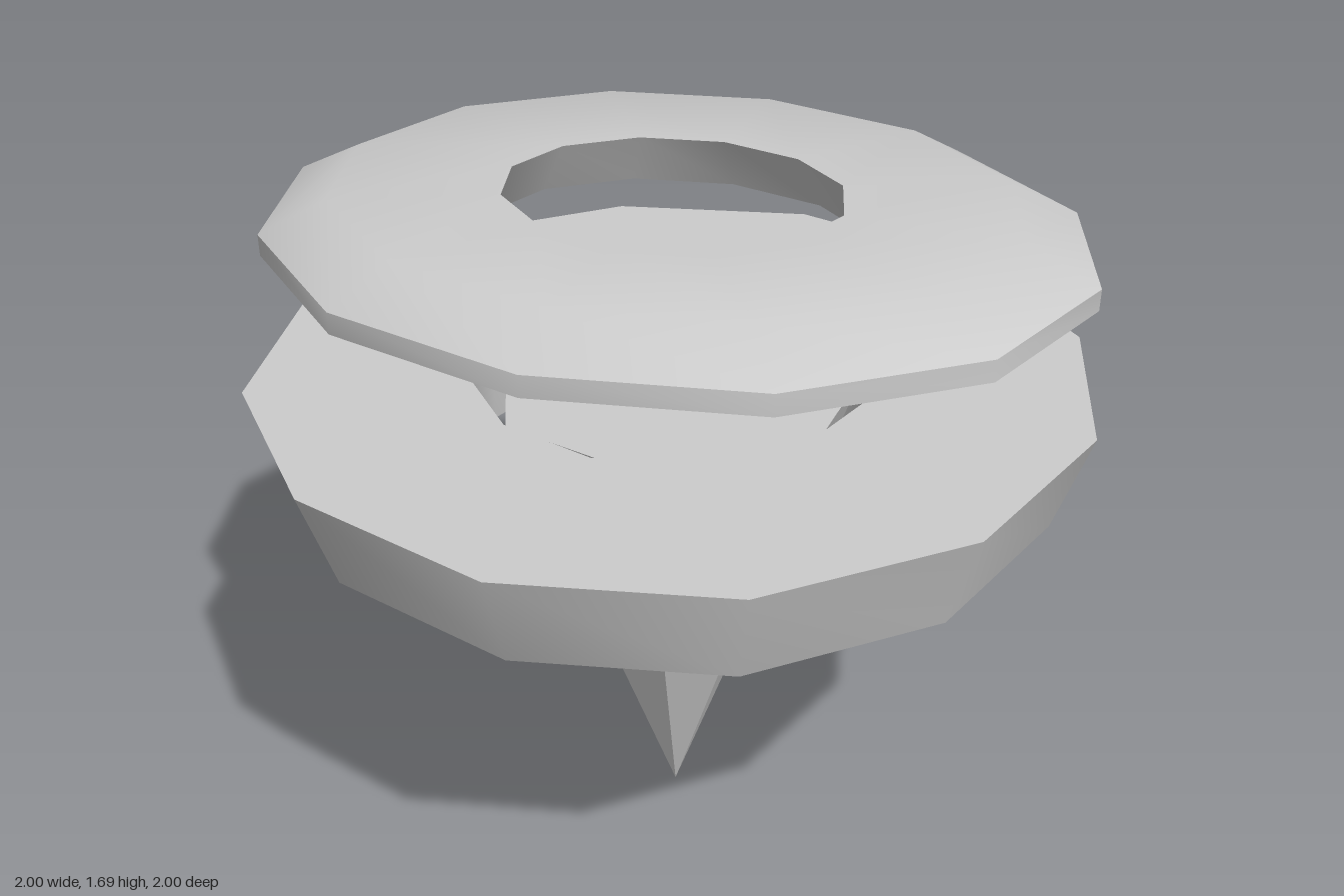
import * as THREE from 'three';
import { toCreasedNormals } from 'three/addons/utils/BufferGeometryUtils.js';

const grey = new THREE.MeshStandardMaterial({ color: 0xcccccc });
const greyFlat = new THREE.MeshStandardMaterial({ color: 0xcccccc, flatShading: true });

// Twelve-sided ring from a closed [radius, y] profile (outside upward, inside downward)
function ring(name, profile, depthScale = 1) {
  const points = [...profile, profile[0]].map(([r, y]) => new THREE.Vector2(r, y));
  const geometry = new THREE.LatheGeometry(points, 12);
  geometry.scale(1, 1, depthScale);
  const mesh = new THREE.Mesh(toCreasedNormals(geometry, 0.7), grey);
  mesh.name = name;
  return mesh;
}

export function createModel() {
  const model = new THREE.Group();
  model.name = 'spinningTop';

  // Oval ring floating on top, with a bevelled rim and a hole that widens downward
  model.add(ring('upperRing', [
    [0.48, 1.56], [0.967, 1.56], [0.967, 1.61], [0.803, 1.69], [0.4, 1.69],
  ], 0.833));

  // Wide tapered ring with a straight hole
  model.add(ring('middleRing', [
    [0.48, 1.015], [0.92, 1.015], [1, 1.255], [0.48, 1.255],
  ]));

  // Seven-sided spike, point down, capped just below the top of the middle ring
  const height = 1.21;
  const spike = new THREE.Mesh(
    new THREE.CylinderGeometry(0.447, 0, height, 7, 1, false, -Math.PI / 2),
    greyFlat,
  );
  spike.name = 'spike';
  spike.position.set(0.008, height / 2, 0);
  model.add(spike);

  return model;
}
